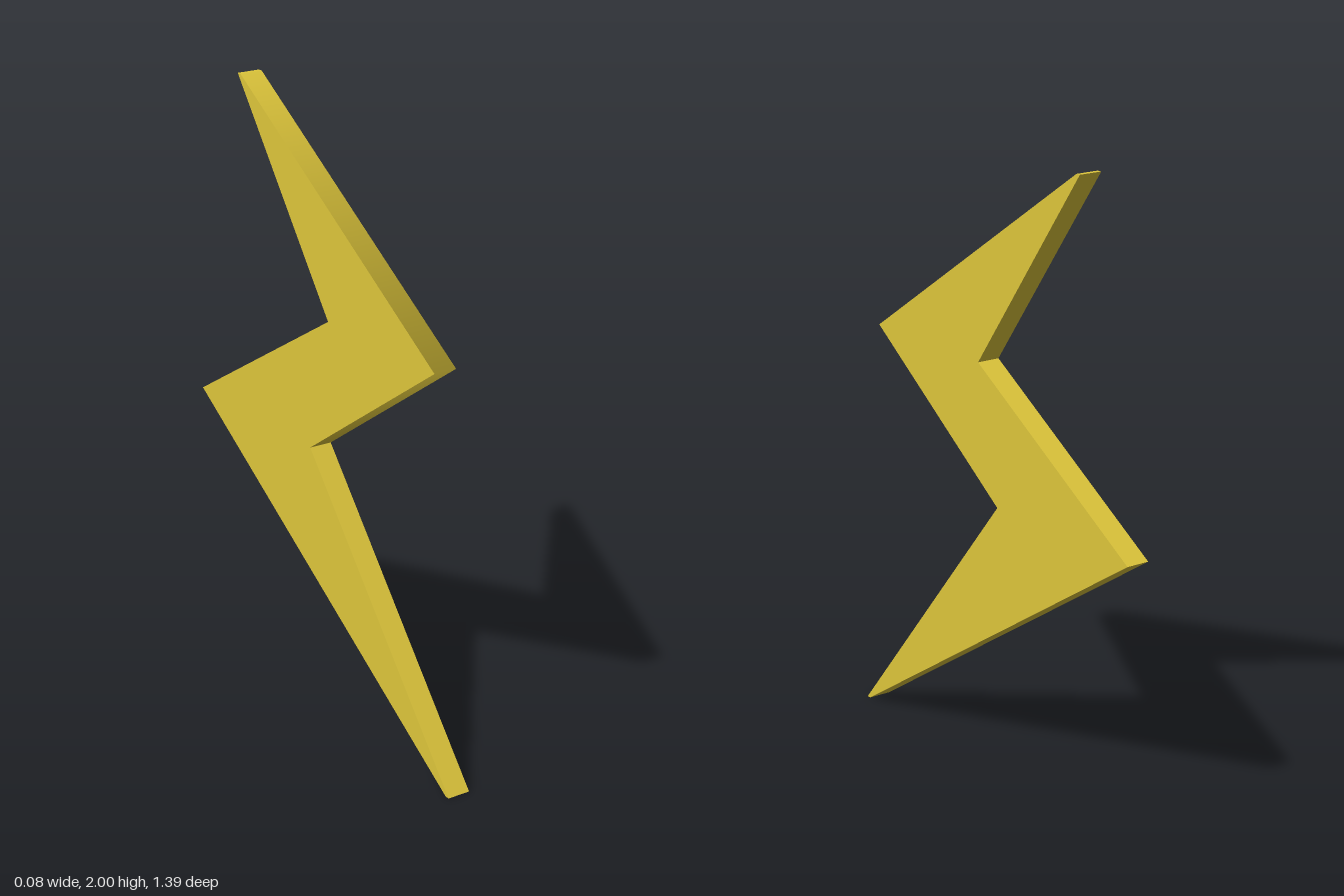
import * as THREE from 'three';

const THICKNESS = 0.077;

export function createModel() {
  const group = new THREE.Group();
  group.name = 'lightningBolt';

  const gold = new THREE.MeshStandardMaterial({ color: 0xdec63b });
  gold.name = 'gold';

  // Zigzag outline as [z, y], with small blunt ends at top and bottom
  const outline = [
    [0.695, 0], [0.68, 0], [-0.695, 0.89], [0.045, 1.333],
    [-0.452, 2], [-0.436, 2], [0.59, 1.333], [-0.055, 0.89],
  ];
  const shape = new THREE.Shape(outline.map(([z, y]) => new THREE.Vector2(-z, y)));
  const geometry = new THREE.ExtrudeGeometry(shape, { depth: THICKNESS, bevelEnabled: false });
  geometry.translate(0, 0, -THICKNESS / 2);
  geometry.rotateY(Math.PI / 2);

  // Soft shading on the rim around the forward point; all other edges stay sharp
  const { position, normal } = geometry.attributes;
  for (let i = 0; i < position.count; i++) {
    const atPoint = Math.abs(position.getZ(i) - 0.59) < 0.001 && Math.abs(position.getY(i) - 1.333) < 0.001;
    if (atPoint && Math.abs(normal.getX(i)) < 0.5) normal.setXYZ(i, 0, 0, 1);
  }

  const bolt = new THREE.Mesh(geometry, gold);
  bolt.name = 'bolt';
  group.add(bolt);
  return group;
}
